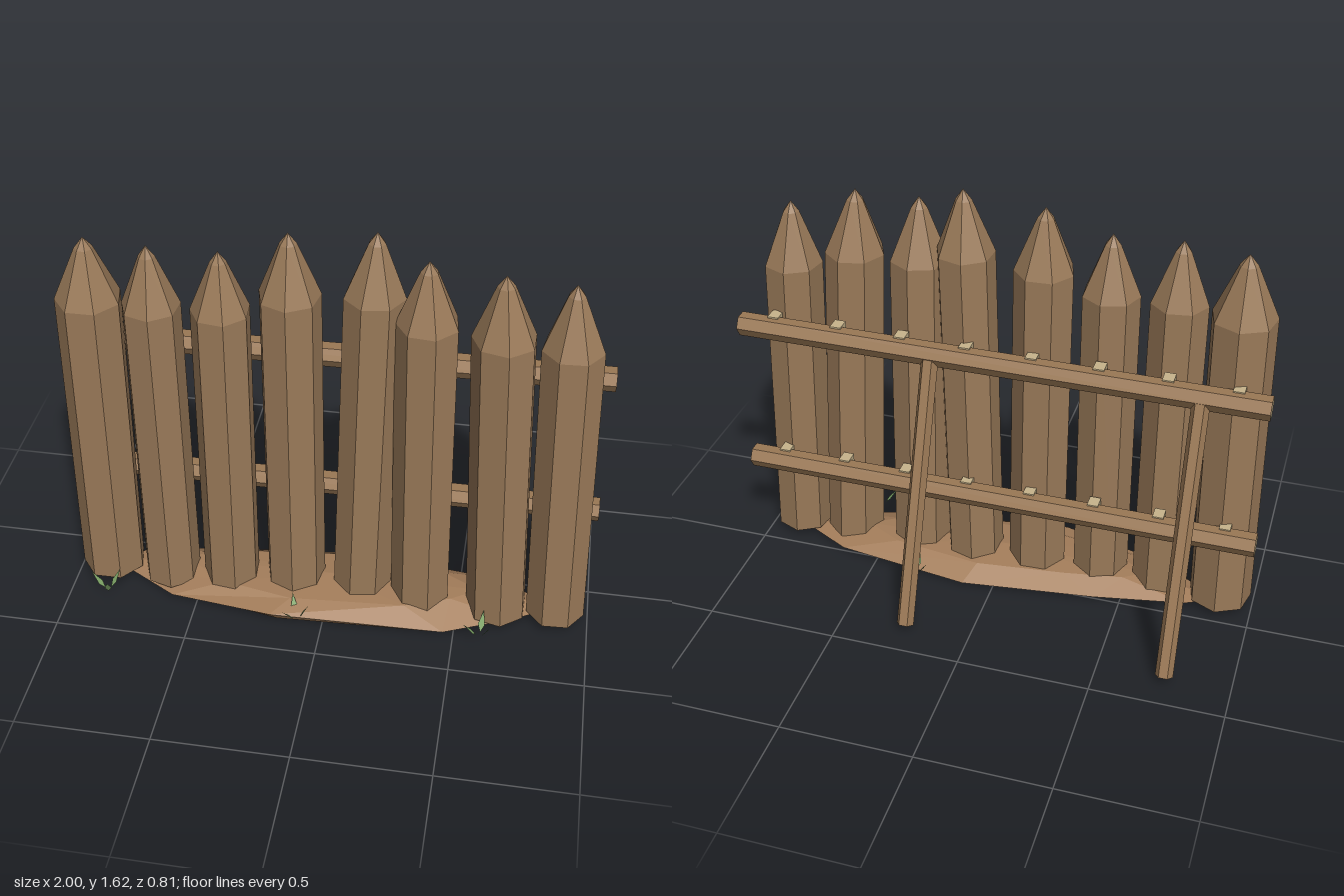
import * as THREE from 'three';

const mat = (name, color) => {
  const m = new THREE.MeshStandardMaterial({ color });
  m.name = name;
  return m;
};

// Split all faces so every facet has its own flat normal
const facet = (g) => {
  const f = g.index ? g.toNonIndexed() : g;
  f.computeVertexNormals();
  return f;
};

export function createModel() {
  const wood = mat('stake wood', 0x9a7a59);
  const railWood = mat('rail wood', 0x9a7855);
  const cutWood = mat('cut wood', 0xc8b48c);
  const earth = mat('earth', 0xa37d5a);
  const grass = mat('grass', 0x7da365);
  grass.side = THREE.DoubleSide;

  const root = new THREE.Group();
  root.name = 'palisade';
  const add = (parent, name, geo, material) => {
    const m = new THREE.Mesh(geo, material);
    m.name = name;
    parent.add(m);
    return m;
  };

  // Sharpened seven-sided stakes: base x, tip x, base z, tip z, shoulder y, tip y, radius, turn
  const stakes = new THREE.Group();
  stakes.name = 'stakes';
  root.add(stakes);
  [
    [-0.87, -0.855, 0.14, 0.14, 1.26, 1.505, 0.122, 0.45],
    [-0.625, -0.625, 0.165, 0.17, 1.27, 1.51, 0.108, 0.15],
    [-0.385, -0.378, 0.16, 0.16, 1.27, 1.505, 0.109, 0.3],
    [-0.135, -0.141, 0.14, 0.135, 1.34, 1.585, 0.114, 0.05],
    [0.123, 0.161, 0.13, 0.135, 1.37, 1.615, 0.112, 0.6],
    [0.355, 0.34, 0.15, 0.175, 1.3, 1.545, 0.114, 0.35],
    [0.65, 0.595, 0.165, 0.2, 1.28, 1.53, 0.116, 0.2],
    [0.873, 0.826, 0.145, 0.138, 1.23, 1.48, 0.112, 0.5],
  ].forEach(([x0, x1, z0, z1, shoulder, tip, r, turn]) => {
    const y0 = 0.03;
    const profile = [[0, y0], [r, y0], [r * 0.985, shoulder], [r * 0.27, tip - 0.042], [0, tip]]
      .map(([a, b]) => new THREE.Vector2(a, b));
    const g = new THREE.LatheGeometry(profile, 7).rotateY(turn);
    // Lean: shift each level sideways in proportion to its height
    const p = g.attributes.position;
    for (let i = 0; i < p.count; i++) {
      const t = (p.getY(i) - y0) / (tip - y0);
      p.setX(i, p.getX(i) + x0 + (x1 - x0) * t);
      p.setZ(i, p.getZ(i) + z0 + (z1 - z0) * t);
    }
    add(stakes, 'stake', facet(g), wood);
  });

  // Six-sided pole between two points, with its own end colour
  const pole = (name, a, b, r, turn, endMat) => {
    const A = new THREE.Vector3(...a), B = new THREE.Vector3(...b);
    const dir = B.clone().sub(A);
    const g = new THREE.CylinderGeometry(r, r, dir.length(), 6).rotateY(turn);
    const flat = g.toNonIndexed();
    flat.clearGroups();
    g.groups.forEach((q) => flat.addGroup(q.start, q.count, q.materialIndex));
    flat.computeVertexNormals();
    const m = add(root, name, flat, [railWood, endMat, endMat]);
    m.position.copy(A).add(B).multiplyScalar(0.5);
    m.quaternion.setFromUnitVectors(new THREE.Vector3(0, 1, 0), dir.normalize());
  };

  // Two horizontal rails with pegs holding them to the stakes
  [[1.003, 1.016], [0.406, 0.416]].forEach(([yl, yr]) => {
    pole('rail', [-1, yl, -0.01], [1, yr, -0.01], 0.045, 0, cutWood);
    for (let i = 0; i < 8; i++) {
      const g = new THREE.BoxGeometry(0.042, 0.095, 0.055);
      const peg = add(root, 'peg', g, cutWood);
      peg.position.set(-0.88 + i * 0.25, yl - 0.003 + (i / 7) * (yr - yl), 0.02);
    }
  });

  // Slanted braces behind the rails
  for (const x of [-0.755, 0.245]) {
    pole('brace', [x, 0.03, -0.385], [x, 1.0, -0.025], 0.033, Math.PI / 6, railWood);
  }

  // Low earth mound built from a bottom ring, a rim, a top ring and a crown
  const rim = [
    [-0.87, 0.005, 0.13], [-0.6, 0.012, 0.29], [-0.2, 0.04, 0.365], [0.46, 0.008, 0.32],
    [0.72, 0.02, 0.22], [0.88, 0.015, 0.12], [0.65, 0.015, 0.0], [0.12, 0.01, -0.07],
    [-0.4, 0.015, -0.01], [-0.75, 0.02, 0.05],
  ];
  const ring = (s, y) => rim.map(([x, , z]) => [x * s, y, 0.14 + (z - 0.14) * s]);
  const rings = [ring(0, 0), ring(0.88, 0), rim, ring(0.66, 0.065), ring(0, 0.08)];
  const n = rim.length;
  const index = [];
  for (let j = 0; j < rings.length - 1; j++) {
    for (let i = 0; i < n; i++) {
      const a = j * n + i, b = j * n + (i + 1) % n;
      if (j > 0) index.push(a, b, b + n);
      if (j < rings.length - 2) index.push(a, b + n, a + n);
      else index.push(a, b, a + n);
    }
  }
  const mound = new THREE.BufferGeometry();
  mound.setAttribute('position', new THREE.Float32BufferAttribute(rings.flat(2), 3));
  mound.setIndex(index);
  add(root, 'mound', facet(mound), earth);

  // Grass tufts: three leaning kite-shaped blades each
  const blade = new THREE.Shape();
  blade.moveTo(0, 0);
  blade.lineTo(0.013, 0.03);
  blade.lineTo(0, 0.085);
  blade.lineTo(-0.013, 0.03);
  [[-0.85, 0.31, 0.3], [-0.1, 0.345, 1.4], [0.6, 0.325, 0.9], [0.31, -0.07, 2.2]].forEach(([x, z, turn]) => {
    const tuft = new THREE.Group();
    tuft.name = 'grassTuft';
    tuft.position.set(x, 0.025, z);
    for (let k = 0; k < 3; k++) {
      const g = new THREE.ShapeGeometry(blade);
      g.rotateX(0.5 + 0.1 * k).translate(0, 0, 0.012).rotateY(turn + k * 2.1);
      add(tuft, 'grassBlade', g, grass);
    }
    root.add(tuft);
  });

  return root;
}
